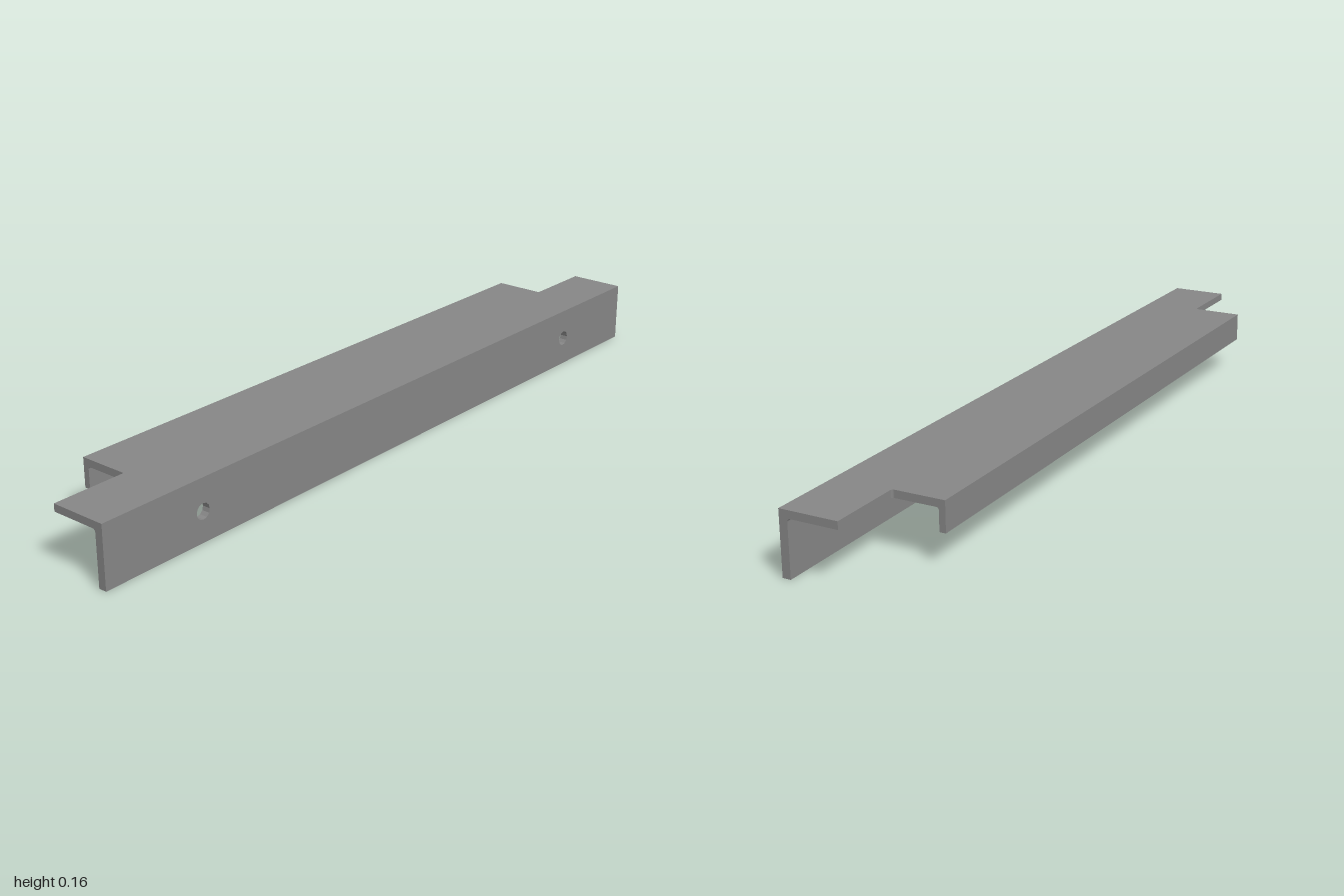
import * as THREE from 'three';

const HALF = 1, BACK_HALF = 0.805;        // half lengths of front and back
const TOP = 0.157, UNDER = 0.138;         // top plate surfaces
const FRONT = 0.14, FRONT_IN = 0.119;     // front flange faces
const BACK = -0.14, BACK_IN = -0.124;     // back flange faces
const LIP = 0.082;                        // lower edge of back flange
const NOTCH = -0.008, NOTCH_R = 0.006;    // end notch edge and corner radius

const material = new THREE.MeshStandardMaterial({ color: 0x868686 });

function extrude(shape, depth) {
  return new THREE.ExtrudeGeometry(shape, { depth, bevelEnabled: false, curveSegments: 6 });
}

// Sweeps a section drawn in (-z, y) along x, centred
function sweepX(shape, halfLength) {
  return extrude(shape, 2 * halfLength).rotateY(Math.PI / 2).translate(-halfLength, 0, 0);
}

export function createModel() {
  const group = new THREE.Group();
  const add = (name, geometry) => {
    const mesh = new THREE.Mesh(geometry, material);
    mesh.name = name;
    group.add(mesh);
  };

  // Front flange with two mounting holes
  const flange = new THREE.Shape();
  flange.moveTo(-HALF, 0).lineTo(HALF, 0).lineTo(HALF, TOP).lineTo(-HALF, TOP).closePath();
  for (const side of [-1, 1]) {
    const hole = new THREE.Path();
    hole.absarc(side * 0.713, 0.076, 0.02, 0, Math.PI * 2, true);
    flange.holes.push(hole);
  }
  add('frontFlange', extrude(flange, FRONT - FRONT_IN).translate(0, 0, FRONT_IN));

  // Top plate, notched at both back corners with small inside radii, drawn in (x, -z)
  const plate = new THREE.Shape();
  const r = NOTCH_R, n = -NOTCH, b = BACK_HALF;
  plate.moveTo(-HALF, -FRONT_IN).lineTo(HALF, -FRONT_IN).lineTo(HALF, n).lineTo(b + r, n);
  plate.absarc(b + r, n + r, r, -Math.PI / 2, -Math.PI, true);
  plate.lineTo(b, -BACK).lineTo(-b, -BACK).lineTo(-b, n + r);
  plate.absarc(-b - r, n + r, r, 0, -Math.PI / 2, true);
  plate.lineTo(-HALF, n).closePath();
  add('topPlate', extrude(plate, TOP - UNDER).rotateX(-Math.PI / 2).translate(0, UNDER, 0));

  // Short back flange with its inside bend radius
  const back = new THREE.Shape();
  const rb = 0.006;
  back.moveTo(-BACK_IN, LIP).lineTo(-BACK, LIP).lineTo(-BACK, UNDER).lineTo(-BACK_IN - rb, UNDER);
  back.absarc(-BACK_IN - rb, UNDER - rb, rb, Math.PI / 2, 0, true);
  back.closePath();
  add('backFlange', sweepX(back, BACK_HALF));

  // Inside bend radius behind the front flange
  const bend = new THREE.Shape();
  const rf = 0.008;
  bend.moveTo(-FRONT_IN, UNDER).lineTo(-FRONT_IN, UNDER - rf);
  bend.absarc(-FRONT_IN + rf, UNDER - rf, rf, Math.PI, Math.PI / 2, true);
  bend.closePath();
  add('frontBend', sweepX(bend, HALF));

  return group;
}
